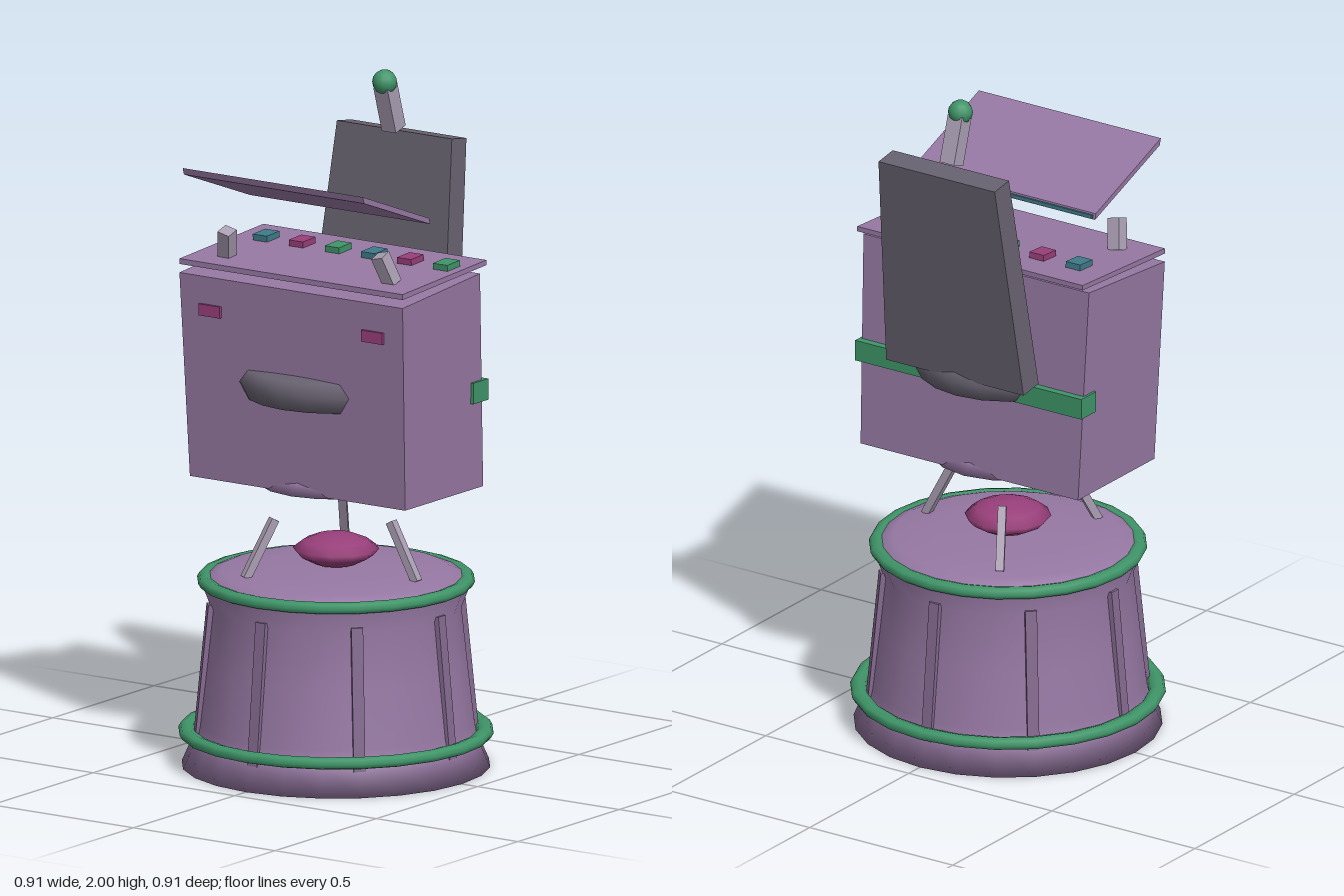
import * as THREE from 'three';

const mat = (color, extra = {}) => new THREE.MeshStandardMaterial({ color, ...extra });
const PURPLE = 0x9678a3, GREEN = 0x3f9468, PINK = 0x983f7a, TEAL = 0x3f7a88;
const GREY = 0x67616f, PALE = 0xa99eb2, RIB = 0x84698f;

export function createModel() {
  const group = new THREE.Group();
  const add = (name, geo, color, extra) => {
    const mesh = new THREE.Mesh(geo, mat(color, extra));
    mesh.name = name;
    group.add(mesh);
    return mesh;
  };
  const box = (name, size, pos, color) => {
    const mesh = add(name, new THREE.BoxGeometry(...size), color);
    mesh.position.set(...pos);
    return mesh;
  };
  // Square bar running between two points
  const bar = (name, a, b, w, color) => {
    const from = new THREE.Vector3(...a), to = new THREE.Vector3(...b);
    const dir = to.clone().sub(from);
    const mesh = add(name, new THREE.BoxGeometry(w, dir.length(), w), color);
    mesh.position.copy(from).add(to).multiplyScalar(0.5);
    mesh.quaternion.setFromUnitVectors(new THREE.Vector3(0, 1, 0), dir.normalize());
    return mesh;
  };
  // Six-sided block from a side outline of [z, y] corners and two half widths
  const block = (name, { frontTop, backTop, frontLow, backLow }, topX, lowX, color) => {
    const geo = new THREE.BoxGeometry(1, 1, 1), p = geo.attributes.position;
    for (let i = 0; i < p.count; i++) {
      const up = p.getY(i) > 0, front = p.getZ(i) > 0;
      const [z, y] = up ? (front ? frontTop : backTop) : (front ? frontLow : backLow);
      p.setXYZ(i, Math.sign(p.getX(i)) * (up ? topX : lowX), y, z);
    }
    geo.computeVertexNormals();
    return add(name, geo, color);
  };
  const lathe = (name, pts, color, extra, segments = 20) =>
    add(name, new THREE.LatheGeometry(pts.map(([x, y]) => new THREE.Vector2(x, y)), segments), color,
      { side: THREE.DoubleSide, ...extra });

  // Drum base with a shallow domed top
  lathe('base', [[0, 0], [0.445, 0], [0.41, 0.08], [0.4, 0.13], [0.38, 0.3], [0.362, 0.47],
    [0.385, 0.53], [0.375, 0.555], [0.33, 0.573], [0.2, 0.585], [0, 0.59]], PURPLE, {}, 24);

  // Green hoops
  for (const [name, r, y] of [['lowerHoop', 0.43, 0.1], ['upperHoop', 0.376, 0.545]]) {
    const hoop = add(name, new THREE.TorusGeometry(r, 0.025, 8, 24), GREEN);
    hoop.rotation.x = Math.PI / 2;
    hoop.scale.z = 0.72;
    hoop.position.y = y;
  }

  // Ribs around the drum
  for (let i = 0; i < 8; i++) {
    const rib = block('rib', { frontTop: [0.374, 0.485], backTop: [0.34, 0.485],
      frontLow: [0.415, 0.07], backLow: [0.37, 0.07] }, 0.017, 0.017, RIB);
    rib.rotation.y = i * Math.PI / 4;
  }

  // Glowing core and the three struts around it
  lathe('core', [[0, 0.585], [0.06, 0.592], [0.105, 0.615], [0.125, 0.637],
    [0.095, 0.66], [0.055, 0.676], [0, 0.68]], PINK, {}, 12);
  for (let i = 0; i < 3; i++) {
    const a = i * Math.PI * 2 / 3, c = Math.cos(a), s = Math.sin(a);
    bar('strut', [0.285 * c, 0.575, 0.285 * s], [0.195 * c, 0.74, 0.195 * s], 0.024, PALE)
      .rotateY(-a);
  }

  // Flared collar under the cabinet
  lathe('collar', [[0, 0.835], [0.12, 0.829], [0.222, 0.83], [0.19, 0.865], [0.12, 0.9], [0, 0.91]],
    PURPLE, {}, 16);

  // Cabinet and its tilted top plate
  block('cabinet', { frontTop: [0.222, 1.437], backTop: [-0.16, 1.468],
    frontLow: [0.19, 0.833], backLow: [-0.195, 0.833] }, 0.394, 0.38, PURPLE);
  block('topPlate', { frontTop: [0.222, 1.478], backTop: [-0.192, 1.502],
    frontLow: [0.222, 1.462], backLow: [-0.192, 1.487] }, 0.394, 0.394, PURPLE);

  // Row of buttons
  for (let i = 0; i < 6; i++) {
    const button = box('button', [0.05, 0.018, 0.062], [-0.294 + i * 0.1274, 1.505, -0.066],
      [TEAL, PINK, GREEN][i % 3]);
    button.rotation.x = 0.06;
  }

  // Levers and front indicator lamps
  for (const s of [-1, 1]) {
    bar('lever', [s * 0.292, 1.48, 0.13], [s * 0.27, 1.565, 0.16], 0.04, PALE);
    box('indicatorLamp', [0.075, 0.034, 0.02], [s * 0.287, 1.338, 0.216], PINK);
  }

  // Round disc passing through the cabinet
  lathe('disc', [[0, 1.075], [0.2, 1.082], [0.262, 1.092], [0.286, 1.14], [0.265, 1.178],
    [0.2, 1.184], [0, 1.187]], GREY, {}, 20);

  // Belt across the back
  box('belt', [0.79, 0.062, 0.075], [0, 1.12, -0.163], GREEN);

  // Floating canopy panel with a coloured rear edge
  block('canopy', { frontTop: [0.312, 1.772], backTop: [-0.016, 1.648],
    frontLow: [0.306, 1.752], backLow: [-0.02, 1.63] }, 0.318, 0.318, PURPLE);
  box('canopyEdge', [0.62, 0.01, 0.01], [0, 1.638, -0.018], TEAL);

  // Tall back panel
  block('backPanel', { frontTop: [-0.288, 1.815], backTop: [-0.36, 1.804],
    frontLow: [-0.192, 1.162], backLow: [-0.268, 1.15] }, 0.203, 0.24, GREY);

  // Antenna
  bar('antennaRod', [0, 1.82, -0.285], [0, 1.955, -0.243], 0.05, PALE);
  const ball = add('antennaBall', new THREE.SphereGeometry(0.036, 12, 8), GREEN);
  ball.position.set(0, 1.965, -0.24);

  return group;
}
